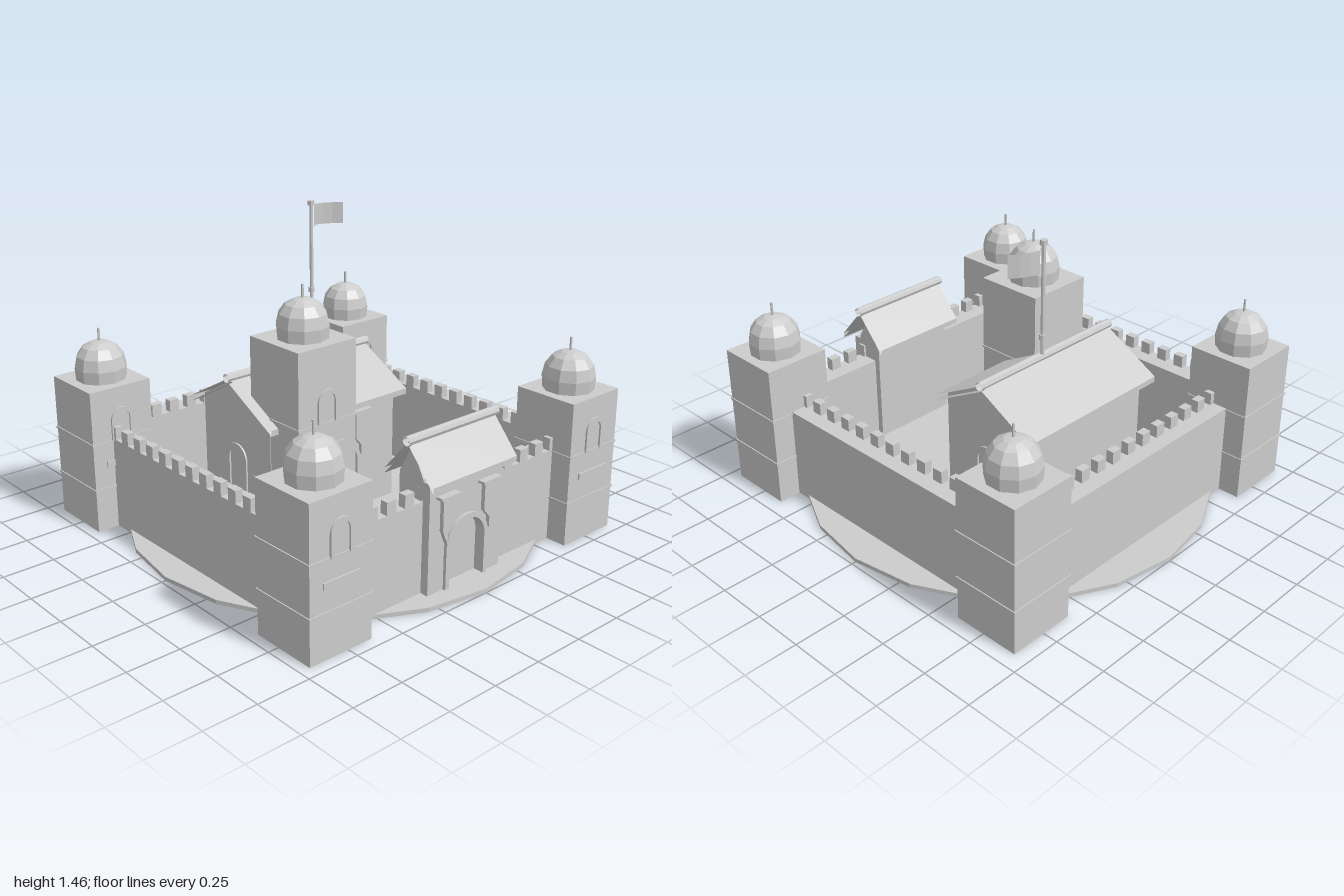
import * as THREE from 'three';

const stone = new THREE.MeshStandardMaterial({ color: 0xcccccc, side: THREE.DoubleSide, flatShading: true });
stone.name = 'pale stone';

function add(parent, name, geo, x = 0, y = 0, z = 0) {
  const m = new THREE.Mesh(geo, stone);
  m.name = name;
  m.position.set(x, y, z);
  parent.add(m);
  return m;
}

function group(parent, name, x = 0, y = 0, z = 0) {
  const g = new THREE.Group();
  g.name = name;
  g.position.set(x, y, z);
  parent.add(g);
  return g;
}

// Box standing on y = 0 without its underside
function openBox(w, h, d) {
  const geo = new THREE.BoxGeometry(w, h, d).translate(0, h / 2, 0);
  const idx = Array.from(geo.index.array);
  idx.splice(18, 6);
  geo.setIndex(idx);
  geo.clearGroups();
  return geo;
}

// Sheet swept along x from a (z, y) profile, ends left open
function sweepX(profile, length) {
  const pos = [], idx = [];
  profile.forEach(([z, y]) => pos.push(-length / 2, y, z, length / 2, y, z));
  for (let i = 0; i < profile.length - 1; i++) {
    const a = i * 2;
    idx.push(a, a + 1, a + 2, a + 1, a + 3, a + 2);
  }
  const geo = new THREE.BufferGeometry();
  geo.setAttribute('position', new THREE.Float32BufferAttribute(pos, 3));
  geo.setIndex(idx);
  geo.computeVertexNormals();
  return geo;
}

// Round-headed outline: half width r, springing at height h
function archPath(path, r, h, y0 = 0) {
  path.moveTo(-r, y0);
  path.lineTo(r, y0);
  path.lineTo(r, h);
  path.absarc(0, h, r, 0, Math.PI, false);
  path.lineTo(-r, y0);
  return path;
}

const extrude = (shape, depth) =>
  new THREE.ExtrudeGeometry(shape, { depth, bevelEnabled: false, curveSegments: 8 });

// Thin arched moulding, open at the foot
function archFrame(r, h, t, depth) {
  const s = new THREE.Shape();
  s.moveTo(r - t, 0);
  s.lineTo(r, 0);
  s.lineTo(r, h);
  s.absarc(0, h, r, 0, Math.PI, false);
  s.lineTo(-r, 0);
  s.lineTo(-r + t, 0);
  s.lineTo(-r + t, h);
  s.absarc(0, h, r - t, Math.PI, 0, true);
  return extrude(s, depth);
}

function tower(parent, name, x, z, w, height, winY, slitY) {
  const g = group(parent, name, x, 0, z);
  add(g, 'towerBody', openBox(w, height, w));
  for (const f of [0.3, 0.63]) {
    add(g, 'stringCourse', new THREE.BoxGeometry(w + 0.01, 0.01, w + 0.01), 0, height * f, 0);
  }
  add(g, 'windowFrame', archFrame(0.06, 0.1, 0.02, 0.009), 0, winY, w / 2);
  add(g, 'slitFrame', new THREE.BoxGeometry(0.19, 0.03, 0.01), 0, slitY, w / 2 + 0.003);
  // Faceted dome on a low drum
  const profile = [[0.12, 0], [0.124, 0.06], [0.112, 0.115], [0.082, 0.157], [0.042, 0.178], [0, 0.185]]
    .map(([r, y]) => new THREE.Vector2(r, y));
  add(g, 'dome', new THREE.LatheGeometry(profile, 10), 0, height, 0);
  add(g, 'finial', new THREE.CylinderGeometry(0.006, 0.006, 0.08, 6), 0, height + 0.205, 0);
}

// Curtain wall along x; merlons stand on its +z edge
function wall(parent, name, x, z, length, turn) {
  const g = group(parent, name, x, 0, z);
  g.rotation.y = turn;
  add(g, 'wallBody', openBox(length, 0.45, 0.11));
  for (let i = 0; i < 13; i++) {
    add(g, 'merlon', new THREE.BoxGeometry(0.052, 0.06, 0.038), -0.615 + i * 0.1025, 0.48, 0.036);
  }
}

// Gabled roof with rounded ridge cap
function roof(parent, length, front, ridge, back, ridgeZ, thick) {
  const [fz, fy] = front, [bz, by] = back;
  add(parent, 'roofSlopes', sweepX([[fz, fy], [ridgeZ, ridge], [bz, by], [bz, by - thick],
    [ridgeZ, ridge - thick], [fz, fy - thick], [fz, fy]], length));
  const cap = add(parent, 'ridgeCap',
    new THREE.CylinderGeometry(0.022, 0.022, length + 0.035, 8, 1, true), 0, ridge + 0.003, ridgeZ);
  cap.rotation.z = Math.PI / 2;
}

// Arched doorway moulding flanked by tapered corbels
function portal(parent, x, y, z) {
  const g = group(parent, 'portal', x, y, z);
  add(g, 'doorMoulding', archFrame(0.13, 0.195, 0.022, 0.015));
  for (const s of [-1, 1]) {
    const c = new THREE.Shape();
    [[0.095, 0.44], [0.16, 0.44], [0.16, 0.29], [0.13, 0.22], [0.13, 0.27], [0.095, 0.31]]
      .forEach(([px, py], i) => (i ? c.lineTo(px * s, py) : c.moveTo(px * s, py)));
    add(g, 'corbel', extrude(c, 0.02));
    add(g, 'corbelCap', new THREE.BoxGeometry(0.115, 0.012, 0.035), s * 0.128, 0.448, 0.017);
  }
}

// Wall front pierced by an arched doorway
function piercedFront(w, h, depth) {
  const s = new THREE.Shape();
  s.moveTo(-w / 2, 0);
  s.lineTo(-w / 2, h);
  s.lineTo(w / 2, h);
  s.lineTo(w / 2, 0);
  s.lineTo(0.11, 0);
  s.lineTo(0.11, 0.195);
  s.absarc(0, 0.195, 0.11, 0, Math.PI, false);
  s.lineTo(-0.11, 0);
  return extrude(s, depth);
}

function gabledBody(w, zf, zb, eave, peak) {
  const s = new THREE.Shape();
  s.moveTo(-zf, 0);
  s.lineTo(-zb, 0);
  s.lineTo(-zb, eave);
  s.lineTo(-(zf + zb) / 2, peak);
  s.lineTo(-zf, eave);
  return extrude(s, w).rotateY(Math.PI / 2).translate(-w / 2, 0, 0);
}

export function createModel() {
  const model = new THREE.Group();
  model.name = 'fortress';

  // Ground disc
  const disc = add(model, 'groundDisc', new THREE.CylinderGeometry(1, 1, 0.02, 20), 0, 0.01, 0);
  disc.scale.x = 0.98;

  // Towers
  for (const x of [-0.787, 0.762]) {
    for (const z of [-0.765, 0.782]) tower(model, 'cornerTower', x, z, 0.325, 0.7, 0.44, 0.33);
  }
  tower(model, 'keepTower', -0.228, 0.055, 0.338, 0.98, 0.62, 0.5);

  // Curtain walls
  wall(model, 'frontWall', -0.01, 0.785, 1.3, 0);
  wall(model, 'backWall', -0.01, -0.765, 1.3, 0);
  wall(model, 'leftWall', 0.76, 0.01, 1.3, -Math.PI / 2);
  wall(model, 'rightWall', -0.785, 0.01, 1.3, -Math.PI / 2);

  // Gatehouse
  const gate = group(model, 'gatehouse', -0.015, 0, 0);
  add(gate, 'gateBody', gabledBody(0.45, 0.84, 0.7, 0.55, 0.68));
  add(gate, 'gateFront', piercedFront(0.45, 0.52, 0.04), 0, 0.02, 0.84);
  portal(gate, 0, 0.02, 0.88);
  roof(gate, 0.515, [0.93, 0.55], 0.715, [0.64, 0.55], 0.785, 0.025);

  // Great hall
  const hall = group(model, 'greatHall', -0.015, 0, 0);
  add(hall, 'hallBody', gabledBody(0.77, 0.025, -0.475, 0.61, 0.745));
  portal(hall, 0.03, 0.08, 0.025);
  for (const s of [-1, 1]) {
    const f = add(hall, 'gableWindow', archFrame(0.075, 0.15, 0.022, 0.009), s * 0.385, 0.2, -0.225);
    f.rotation.y = s * Math.PI / 2;
  }
  roof(hall, 0.84, [0.08, 0.588], 0.755, [-0.535, 0.588], -0.23, 0.028);

  // Flag
  const flag = group(model, 'flag', 0.243, 0, -0.437);
  add(flag, 'pole', new THREE.CylinderGeometry(0.009, 0.009, 0.52, 8), 0, 1.19, 0);
  add(flag, 'poleCollar', new THREE.CylinderGeometry(0.015, 0.015, 0.025, 8), 0, 1.01, 0);
  add(flag, 'poleCap', new THREE.CylinderGeometry(0.017, 0.017, 0.022, 8), 0, 1.445, 0);
  const cloth = new THREE.PlaneGeometry(0.17, 0.105, 4, 1);
  const wave = [0.012, -0.026, -0.015, 0.004, 0.034];
  const p = cloth.attributes.position;
  for (let i = 0; i < p.count; i++) p.setZ(i, wave[i % 5]);
  cloth.computeVertexNormals();
  add(flag, 'flagCloth', cloth, 0.093, 1.378, 0);

  return model;
}
